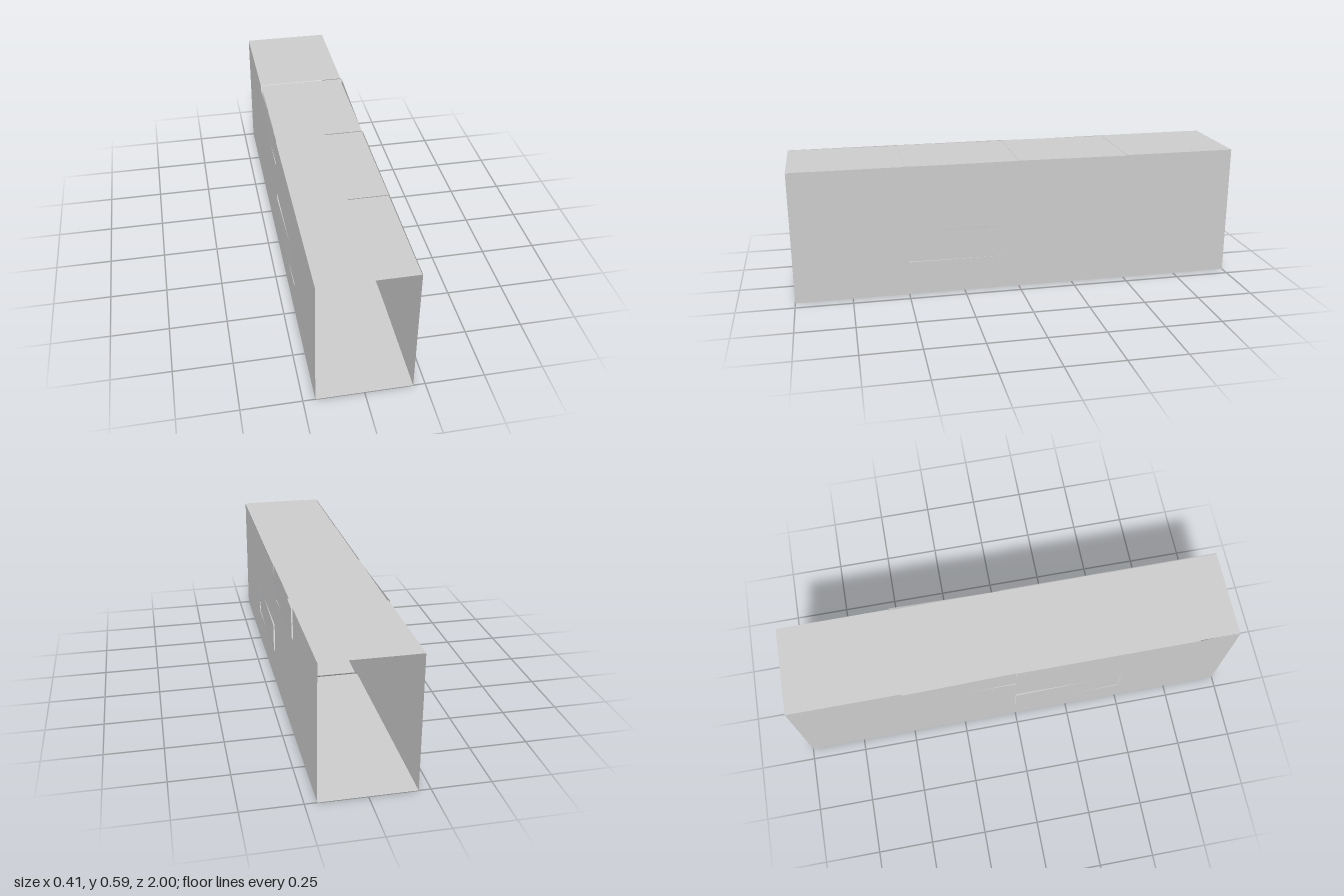
import * as THREE from 'three';

const material = new THREE.MeshStandardMaterial({ color: 0xcccccc, side: THREE.DoubleSide, flatShading: true });

// One flat sheet from four corners in order around its edge
function sheet(name, corners) {
  const geometry = new THREE.BufferGeometry();
  geometry.setAttribute('position', new THREE.Float32BufferAttribute(corners.flat(), 3));
  geometry.setIndex([0, 1, 2, 0, 2, 3]);
  geometry.computeVertexNormals();
  const mesh = new THREE.Mesh(geometry, material);
  mesh.name = name;
  return mesh;
}

export function createModel() {
  const model = new THREE.Group();
  model.name = 'panelledTunnel';
  const rows = [0, 0.152, 0.295, 0.447, 0.59];
  const bays = [1, 0.5, 0, -0.5, -1];
  // Which bay of each plank row leans outwards a little
  const leaningBay = [-1, 1, -1, 2];

  for (let bay = 0; bay < 4; bay++) {
    const front = bays[bay], back = bays[bay + 1];

    // Side planks, mirrored
    for (const side of [1, -1]) {
      for (let row = 0; row < 4; row++) {
        const leans = leaningBay[row] === bay;
        const xf = side * (leans ? 0.197 : 0.2);
        const xb = side * (leans ? 0.206 : 0.2);
        const gap = leans ? 0.002 : 0;
        const y0 = rows[row] + gap, y1 = rows[row + 1] - gap;
        const corners = [[xf, y0, front], [xb, y0, back], [xb, y1, back], [xf, y1, front]];
        model.add(sheet(side > 0 ? 'leftWallPlank' : 'rightWallPlank', side > 0 ? corners : corners.reverse()));
      }
    }

    // Roof panel, slightly sloped except the flush rear bay
    const flush = bay === 3;
    const w = flush ? 0.2 : 0.197;
    const roofBack = flush ? 0.59 : 0.587;
    model.add(sheet('roofPanel', [
      [-w, 0.59, front], [w, 0.59, front], [w, roofBack, back], [-w, roofBack, back],
    ]));

    // Floor panel, the second bay tilted and tapered
    const tilted = bay === 1;
    const fw = tilted ? 0.19 : 0.2;
    const floorBack = tilted ? 0.006 : 0;
    model.add(sheet('floorPanel', [
      [-0.2, 0, front], [0.2, 0, front], [fw, floorBack, back], [-fw, floorBack, back],
    ]));
  }
  return model;
}
